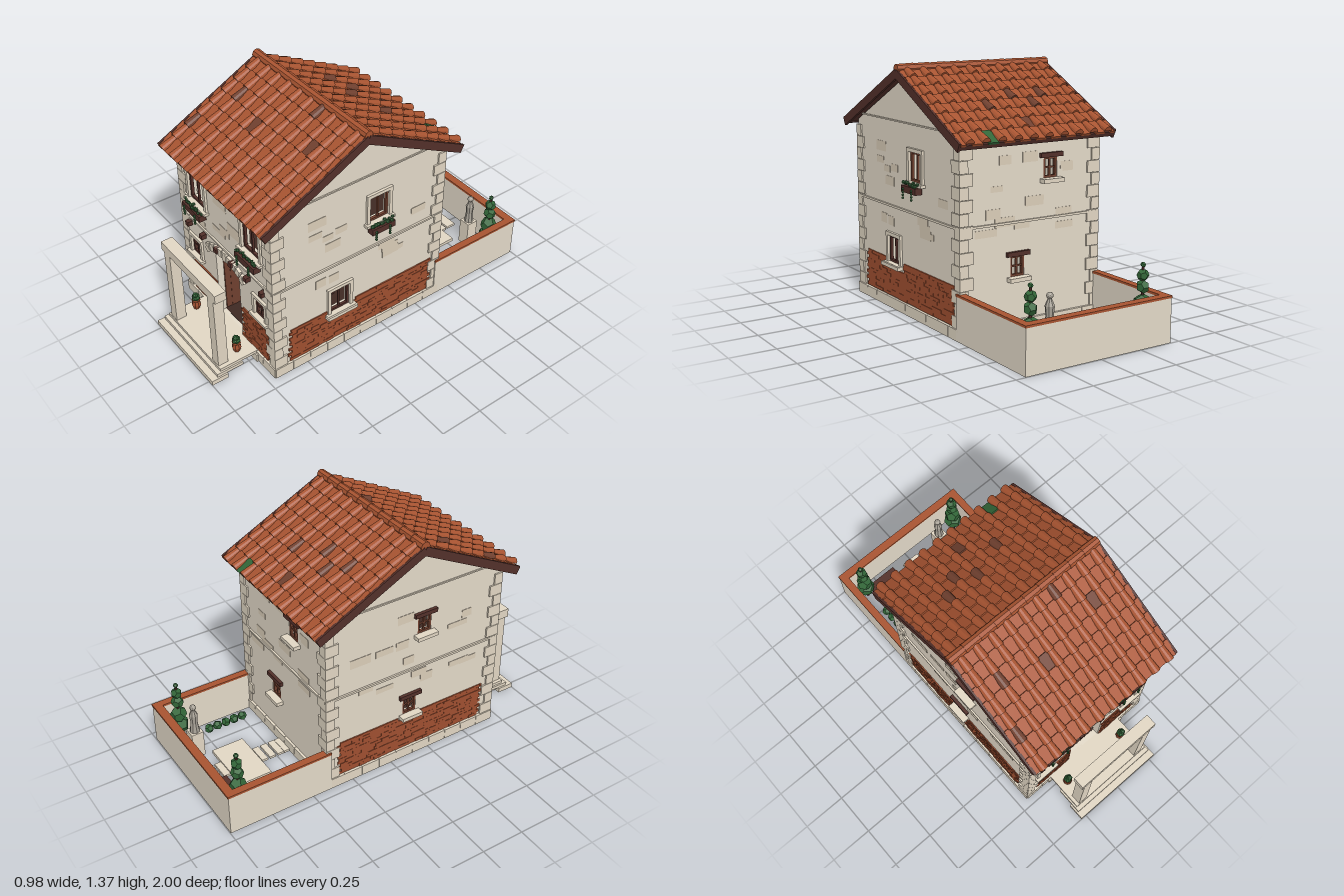
import * as THREE from 'three';
import { mergeGeometries } from 'three/addons/utils/BufferGeometryUtils.js';

const mat = (name, color, side = THREE.FrontSide) => {
  const m = new THREE.MeshStandardMaterial({ color, side, flatShading: true });
  m.name = name;
  return m;
};

export function createModel() {
  const root = new THREE.Group();
  root.name = 'villa';
  const M = {
    wall: mat('stucco', 0xe3d9c8, THREE.DoubleSide), trim: mat('stone trim', 0xe1d6c3),
    patch: mat('weathered stucco', 0xdacdb8), tile: mat('roof tile', 0xa85431),
    russet: mat('russet wood and aged tile', 0x70402f), brick: mat('brick', 0x9f4f30),
    wood: mat('dark wood', 0x53302a), floor: mat('floor boards', 0x3e2923),
    leaf: mat('leaves', 0x326638), stone: mat('grey stone', 0xa8a297),
  };
  let seed = 7;
  const rnd = () => (seed = (seed * 16807) % 2147483647) / 2147483647;

  // Geometry helpers; add() merges pieces of one colour into one named mesh
  const box = (w, h, d, x = 0, y = 0, z = 0) => new THREE.BoxGeometry(w, h, d).translate(x, y, z);
  const span = (x0, x1, y0, y1, z0, z1) =>
    box(x1 - x0, y1 - y0, z1 - z0, (x0 + x1) / 2, (y0 + y1) / 2, (z0 + z1) / 2);
  const ball = (r, x, y, z) => new THREE.IcosahedronGeometry(r, 0).translate(x, y, z);
  const add = (name, material, geos, parent = root) => {
    if (!geos.length) return;
    const mesh = new THREE.Mesh(mergeGeometries(geos.map(g => (g.index ? g.toNonIndexed() : g))), material);
    mesh.name = name;
    parent.add(mesh);
  };

  const W = 0.43, CZ = 0.145, D = 0.55, EAVE = 1.02, T = 0.04;

  // Each facade is built in its own frame: x along the wall, y up, z outward
  const faces = {
    front: { half: W, pos: [0, 0, CZ + D], rot: 0, bricks: [[-0.38, -0.115], [0.115, 0.38]], windows: [
      { u: -0.255, y: 0.73, w: 0.15, h: 0.19, kind: 'grand' }, { u: 0.255, y: 0.73, w: 0.15, h: 0.19, kind: 'grand' },
      { u: -0.31, y: 0.34, w: 0.09, h: 0.11, kind: 'small' }, { u: 0.31, y: 0.34, w: 0.09, h: 0.11, kind: 'small' }] },
    back: { half: W, pos: [0, 0, CZ - D], rot: Math.PI, bricks: [], windows: [
      { u: 0.12, y: 0.79, w: 0.085, h: 0.11, kind: 'rustic' }, { u: -0.085, y: 0.292, w: 0.085, h: 0.11, kind: 'rustic' }] },
    left: { half: D, pos: [W, 0, CZ], rot: Math.PI / 2, gable: true, bricks: [[-0.475, 0.5]], windows: [
      { u: 0.115, y: 0.75, w: 0.125, h: 0.16, kind: 'box' }, { u: -0.135, y: 0.26, w: 0.125, h: 0.15, kind: 'sill' }] },
    right: { half: D, pos: [-W, 0, CZ], rot: -Math.PI / 2, gable: true, bricks: [[-0.5, 0.475]], windows: [
      { u: 0.055, y: 0.79, w: 0.085, h: 0.11, kind: 'rustic' }, { u: -0.025, y: 0.292, w: 0.085, h: 0.11, kind: 'rustic' }] },
  };

  for (const [side, f] of Object.entries(faces)) {
    const g = new THREE.Group();
    g.name = side + 'Facade';
    g.position.set(...f.pos);
    g.rotation.y = f.rot;
    root.add(g);
    const h = f.half, trim = [], wood = [], russet = [], leaves = [], bricks = [], patches = [];

    // Wall with window and door openings
    const s = new THREE.Shape();
    s.moveTo(-h, 0).lineTo(h, 0).lineTo(h, EAVE);
    if (f.gable) s.lineTo(0, 1.295);
    s.lineTo(-h, EAVE).closePath();
    for (const { u, y, w, h: wh } of f.windows) {
      s.holes.push(new THREE.Path().moveTo(u - w / 2, y).lineTo(u - w / 2, y + wh)
        .lineTo(u + w / 2, y + wh).lineTo(u + w / 2, y).closePath());
    }
    if (side === 'front') {
      s.holes.push(new THREE.Path().moveTo(-0.112, 0.06).lineTo(-0.112, 0.48)
        .quadraticCurveTo(0, 0.54, 0.112, 0.48).lineTo(0.112, 0.06).closePath());
    }
    add('wall', M.wall, [new THREE.ExtrudeGeometry(s, { depth: T, bevelEnabled: false, curveSegments: 8 }).translate(0, 0, -T)], g);

    // Windows: casement, surround and sill, flower box or rustic lintel
    for (const { u, y, w, h: wh, kind } of f.windows) {
      const t = 0.012, top = y + wh, cy = y + wh / 2;
      const frame = kind === 'rustic' || kind === 'box' ? russet : wood;
      for (const k of [-1, 1]) {
        frame.push(box(t, wh, 0.016, u + k * (w - t) / 2, cy, -0.01), box(w, t, 0.016, u, cy + k * (wh - t) / 2, -0.01));
        if (kind !== 'rustic') trim.push(box(0.02, wh, 0.014, u + k * (w / 2 + 0.01), cy, 0.006));
      }
      frame.push(box(t * 0.8, wh, 0.012, u, cy, -0.01));
      if (kind === 'small' || kind === 'rustic') frame.push(box(w, t * 0.7, 0.01, u, cy, -0.01));
      if (kind === 'rustic') {
        wood.push(box(w + 0.055, 0.024, 0.025, u, top + 0.012, 0.006));
        trim.push(box(w + 0.045, 0.022, 0.045, u, y - 0.011, 0.018));
        continue;
      }
      trim.push(box(w + 0.04, 0.02, 0.016, u, top + 0.01, 0.007));
      trim.push(box(w + 0.06, 0.016, 0.03, u, y - 0.008, 0.014));
      if (kind === 'grand') {
        const p = new THREE.Shape().moveTo(-0.12, 0).lineTo(0.12, 0).lineTo(0.12, 0.012).lineTo(0, 0.045).lineTo(-0.12, 0.012);
        trim.push(new THREE.ExtrudeGeometry(p, { depth: 0.018, bevelEnabled: false }).translate(u, top + 0.025, 0));
      }
      if (kind === 'grand' || kind === 'box') {
        const bw = w + 0.025, by = y - 0.035;
        wood.push(box(bw, 0.036, 0.042, u, by, 0.03));
        for (let i = 0; i < 12; i++) leaves.push(ball(0.007 + rnd() * 0.006, u + bw * (i / 11 - 0.5) * 0.9, by + 0.022 + rnd() * 0.018, 0.025 + rnd() * 0.02));
        for (const k of [-0.35, 0.25]) for (let i = 0; i < 4; i++) leaves.push(ball(0.008, u + k * bw, by - i * 0.016, 0.054));
      }
      if (kind === 'sill') trim.push(box(w + 0.07, 0.02, 0.04, u, y - 0.012, 0.018));
    }

    // Brick panels with ragged ends, kept clear of the windows
    for (const [a, b] of f.bricks) for (let r = 0; r < 12; r++) {
      const y = 0.065 + r * 0.0178;
      let x = a + (r % 2) * 0.02 + rnd() * 0.015;
      const end = b - (r % 2 ? 0 : 0.015);
      while (x < end - 0.006) {
        const e = Math.min(x + 0.0468, end);
        if (!f.windows.some(v => y + 0.017 > v.y - 0.03 && y < v.y + v.h && e > v.u - v.w / 2 - 0.01 && x < v.u + v.w / 2 + 0.01))
          bricks.push(span(x, e, y, y + 0.0178, 0, 0.004 + rnd() * 0.004));
        x = e;
      }
    }

    // Weathered patches, string courses and plinth blocks
    for (let i = 0; i < 14; i++) {
      const w = 0.06 + rnd() * 0.08, x = (rnd() * 2 - 1) * (h - 0.15), y = 0.48 + rnd() * 0.45;
      if (!f.windows.some(v => Math.abs(x - v.u) < v.w / 2 + w / 2 + 0.02 && y > v.y - 0.08 && y < v.y + v.h + 0.06) && !(side === 'front' && y < 0.6))
        patches.push(box(w, 0.03 + rnd() * 0.025, 0.002, x, y, 0.001));
    }
    trim.push(box(2 * h, 0.012, 0.012, 0, 0.58, 0.004));
    if (f.gable) trim.push(box(2 * h - 0.1, 0.008, 0.01, 0, 1.055, 0.002));
    const n = Math.round(h * 2 / 0.11), bw = (2 * h + 0.02) / n;
    for (let i = 0; i < n; i++) trim.push(box(bw - 0.002, 0.06, 0.03, -h - 0.01 + bw * (i + 0.5), 0.03, 0));

    if (side === 'front') {
      // Door arch stones, beam ends and rafter ends
      for (let i = -4; i <= 4; i++) {
        const a = i * 0.12;
        trim.push(box(0.034, i ? 0.045 : 0.06, 0.02).rotateZ(-a).translate(Math.sin(a) * 0.35, 0.19 + Math.cos(a) * 0.35, 0.008));
      }
      for (const k of [-1, 1]) trim.push(box(0.035, 0.035, 0.022).rotateZ(Math.PI / 4).translate(k * 0.165, 0.485, 0.008));
      for (let i = 0; i < 6; i++) wood.push(box(0.028, 0.028, 0.04, -0.355 + i * 0.142, 0.54, 0.01));
      for (let i = 0; i < 8; i++) wood.push(box(0.015, 0.022, 0.035, -0.345 + i * 0.097, 0.99, 0.015));
      // Door leaves standing open into the hall
      for (const k of [-1, 1]) for (let i = 0; i < 3; i++)
        russet.push(box(0.008 + (i % 2) * 0.003, 0.41, 0.035, k * 0.113, 0.27, -0.06 - i * 0.035));
    }
    add('stoneTrim', M.trim, trim, g);
    add('woodwork', M.wood, wood, g);
    add('russetWoodwork', M.russet, russet, g);
    add('windowPlants', M.leaf, leaves, g);
    add('brickwork', M.brick, bricks, g);
    add('stuccoPatches', M.patch, patches, g);
  }

  // Corner quoins, alternating long and short
  const quoins = [];
  for (const sx of [-1, 1]) for (const sz of [-1, 1]) for (let i = 0; i < 14; i++) {
    const a = i % 2 ? 0.08 : 0.052, b = i % 2 ? 0.052 : 0.08;
    quoins.push(box(a, 0.064, b, sx * (W + 0.009 - a / 2), 0.093 + i * 0.0665, CZ + sz * (D + 0.009 - b / 2)));
  }
  add('quoins', M.trim, quoins);

  // Interior floors and table
  add('floors', M.floor, [span(-0.4, 0.4, 0.005, 0.062, -0.37, 0.66), span(-0.39, 0.39, 0.565, 0.58, -0.365, 0.655)]);
  const table = [span(-0.04, 0.16, 0.178, 0.19, 0.1, 0.26), new THREE.CylinderGeometry(0.025, 0.014, 0.016, 8).translate(0.02, 0.198, 0.18)];
  for (const x of [-0.028, 0.148]) for (const z of [0.115, 0.245]) table.push(box(0.012, 0.12, 0.012, x, 0.12, z));
  add('table', M.wood, table);

  // Roof: each slope laid out flat (z down the slope), then tilted into place
  const ANG = 0.468, L = 0.628 / Math.cos(ANG), ROWS = 8, step = L / ROWS;
  const agedCovers = [['6,0', '1,2', '0,5'], ['6,4', '7,3', '5,3', '3,4']];
  const agedPans = [['7,2', '3,3'], ['4,6']];
  for (const back of [0, 1]) {
    const g = new THREE.Group();
    g.name = back ? 'backRoofSlope' : 'frontRoofSlope';
    g.position.set(0, 1.325, CZ);
    g.rotation.set(ANG, back ? Math.PI : 0, 0, 'YXZ');
    root.add(g);
    const tiles = [], aged = [], mossy = [];
    for (let r = 0; r < ROWS; r++) {
      const z = (r + 0.5) * step;
      for (let c = 0; c < 10; c++) {
        const x = -0.426 + c * 0.0947, key = `${c},${r}`;
        const cover = new THREE.CylinderGeometry(0.025, 0.02, step * 1.1, 6, 1, false, Math.PI / 2, Math.PI)
          .rotateX(Math.PI / 2 - 0.06).translate(x, 0.014, z);
        (agedCovers[back].includes(key) ? aged : tiles).push(cover);
        if (c === 9) continue;
        const pan = box(0.062, 0.012, step * 1.1).rotateX(0.09).translate(x + 0.047, 0.01, z);
        (back && key === '1,7' ? mossy : agedPans[back].includes(key) ? aged : tiles).push(pan);
      }
      for (const k of [-1, 1]) tiles.push(box(0.03, 0.012, step * 1.1).rotateX(0.09).translate(k * 0.46, 0.01, z));
    }
    add('tiles', M.tile, tiles, g);
    add('agedTiles', M.russet, aged, g);
    add('mossyTile', M.leaf, mossy, g);
    // Deck, eaves board and barge boards
    const deck = [span(-0.475, 0.475, -0.018, 0.002, 0, L - 0.005), span(-0.48, 0.48, -0.022, 0.004, L - 0.015, L)];
    for (const k of [-1, 1]) deck.push(box(0.014, 0.048, L, k * 0.478, -0.008, L / 2));
    add('roofBoards', M.wood, deck, g);
  }
  const ridge = [];
  for (let i = 0; i < 10; i++) ridge.push(new THREE.CylinderGeometry(0.028, 0.025, 0.104, 8).rotateZ(Math.PI / 2).translate(-0.43 + i * 0.0955, 1.341, CZ));
  add('ridgeTiles', M.tile, ridge);

  // Porch steps and portal
  add('porchSteps', M.trim, [span(-0.285, 0.285, 0, 0.028, 0.9, 1), span(-0.275, 0.275, 0.028, 0.047, 0.8, 0.96), span(-0.265, 0.265, 0.047, 0.064, 0.69, 0.935), span(-0.285, 0.285, 0, 0.047, 0.69, 0.72)]);
  add('porchPortal', M.trim, [span(-0.265, 0.265, 0.525, 0.578, 0.865, 0.932), span(-0.245, -0.187, 0.06, 0.53, 0.87, 0.93), span(0.182, 0.24, 0.06, 0.53, 0.87, 0.93)]);
  for (const x of [-0.21, 0.2]) {
    const profile = [[0, 0], [0.016, 0], [0.026, 0.03], [0.02, 0.055], [0.025, 0.06], [0, 0.06]].map(p => new THREE.Vector2(...p));
    add('porchPot', M.brick, [new THREE.LatheGeometry(profile, 8).translate(x, 0.064, 0.79)]);
    add('porchPlant', M.leaf, [ball(0.026, x, 0.142, 0.79), ball(0.018, x + 0.005, 0.163, 0.795)]);
  }

  // Walled garden
  const gardenRing = (y0, y1, o) => [span(-0.445 - o, -0.408 + o, y0, y1, -0.995, -0.385), span(0.408 - o, 0.445 + o, y0, y1, -0.995, -0.385), span(-0.445 - o, 0.445 + o, y0, y1, -0.997 - o, -0.955 + o)];
  add('gardenWall', M.wall, gardenRing(0, 0.236, 0));
  add('gardenWallCap', M.tile, gardenRing(0.236, 0.248, 0.003));
  const paving = [span(-0.17, 0.16, 0, 0.02, -0.79, -0.6), span(-0.06, 0.055, 0, 0.014, -0.9, -0.84)];
  for (const z of [-0.81, -0.575, -0.525, -0.475, -0.435]) paving.push(box(0.115, 0.014, 0.038, 0, 0.007, z));
  add('paving', M.trim, paving);
  add('bench', M.wood, [span(-0.32, -0.13, 0.07, 0.085, -0.9, -0.85), span(-0.3, -0.28, 0, 0.07, -0.895, -0.855), span(-0.17, -0.15, 0, 0.07, -0.895, -0.855)]);
  const hedge = [], stems = [];
  for (const k of [-1, 1]) {
    for (let i = 0; i < 5; i++) hedge.push(new THREE.DodecahedronGeometry(0.027, 0).rotateY(i).translate(k * 0.33, 0.03, -0.72 + i * 0.053));
    const x = k * 0.345;
    [[0.055, 0.13], [0.048, 0.2], [0.036, 0.285], [0.032, 0.345], [0.014, 0.398]].forEach(([r, y], i) =>
      hedge.push(new THREE.DodecahedronGeometry(r, 0).rotateY(i * 0.7).translate(x, y, -0.89)));
    stems.push(new THREE.CylinderGeometry(0.007, 0.01, 0.39, 6).translate(x, 0.195, -0.89));
  }
  add('hedgeAndTopiary', M.leaf, hedge);
  add('topiaryStems', M.wood, stems);

  // Garden statue on a pedestal
  const body = [[0, 0], [0.028, 0], [0.02, 0.06], [0.025, 0.11], [0.01, 0.145], [0, 0.145]].map(p => new THREE.Vector2(...p));
  add('statuePedestal', M.trim, [box(0.07, 0.16, 0.07, 0.21, 0.08, -0.86)]);
  add('statue', M.stone, [new THREE.LatheGeometry(body, 8).translate(0.21, 0.16, -0.86), new THREE.IcosahedronGeometry(0.018, 1).translate(0.21, 0.32, -0.86)]);
  return root;
}
